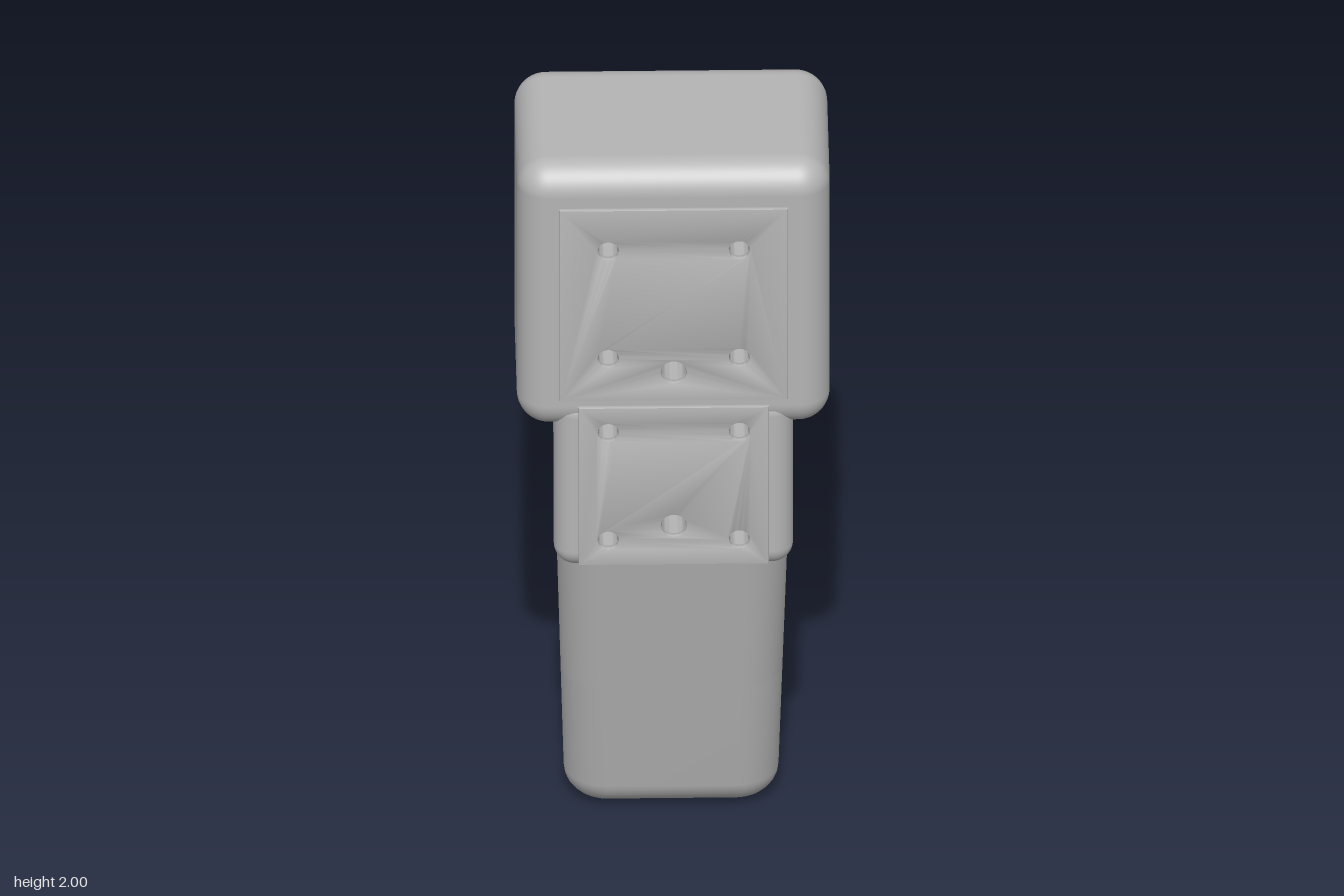
import * as THREE from 'three';
import { toCreasedNormals } from 'three/addons/utils/BufferGeometryUtils.js';
import { RoundedBoxGeometry } from 'three/addons/geometries/RoundedBoxGeometry.js';

const grey = new THREE.MeshStandardMaterial({ color: 0xb4b4b4 });
grey.name = 'grey';

function add(parent, name, geometry) {
  const mesh = new THREE.Mesh(geometry, grey);
  mesh.name = name;
  parent.add(mesh);
  return mesh;
}

// Holes are [u, v, radius]
function shapeWithHoles(points, holes) {
  const shape = new THREE.Shape(points.map(([u, v]) => new THREE.Vector2(u, v)));
  for (const [u, v, r] of holes) {
    shape.holes.push(new THREE.Path().absarc(u, v, r, 0, Math.PI * 2, true));
  }
  return shape;
}

const rect = (x0, x1, y0, y1) => [[x0, y0], [x1, y0], [x1, y1], [x0, y1]];

// Flat face with holes, placed in space by a rule (u, v) -> [x, y, z]
function panel(points, holes, place) {
  const g = new THREE.ShapeGeometry(shapeWithHoles(points, holes), 12);
  const p = g.attributes.position;
  for (let i = 0; i < p.count; i++) p.setXYZ(i, ...place(p.getX(i), p.getY(i)));
  g.computeVertexNormals();
  return g;
}

// Inside of a blind hole, opening at pos towards dir
function bore(parent, pos, dir, r, depth = 0.09) {
  const profile = [[r, 0], [r, -depth], [0, -depth]].map(([x, y]) => new THREE.Vector2(x, y));
  const mesh = add(parent, 'screwHole', toCreasedNormals(new THREE.LatheGeometry(profile, 48), 0.6));
  mesh.position.set(...pos);
  mesh.quaternion.setFromUnitVectors(new THREE.Vector3(0, 1, 0), new THREE.Vector3(...dir));
}

// Rounded box whose front (+z) and left (+x) flat faces can carry holes
function drilledBox(parent, name, [x1, y0, y1, z0, z1], r, frontHoles, sideHoles) {
  const group = new THREE.Group();
  group.name = name;
  parent.add(group);
  const h = (y1 - y0) / 2, d = (z1 - z0) / 2;
  const g = new RoundedBoxGeometry(x1 * 2, h * 2, d * 2, 6, r);
  const pos = g.attributes.position.array, nor = g.attributes.normal.array;
  const keptPos = [], keptNor = [];
  for (let i = 0; i < pos.length; i += 9) {
    const onFace = (axis, value) => [0, 3, 6].every((k) => Math.abs(pos[i + k + axis] - value) < 1e-5);
    if (onFace(2, d) || onFace(0, x1)) continue;
    for (let k = 0; k < 9; k++) {
      keptPos.push(pos[i + k]);
      keptNor.push(nor[i + k]);
    }
  }
  const shell = new THREE.BufferGeometry();
  shell.setAttribute('position', new THREE.Float32BufferAttribute(keptPos, 3));
  shell.setAttribute('normal', new THREE.Float32BufferAttribute(keptNor, 3));
  shell.translate(0, (y0 + y1) / 2, (z0 + z1) / 2);
  add(group, name + 'Shell', shell);
  add(group, name + 'Front', panel(rect(-x1 + r, x1 - r, y0 + r, y1 - r), frontHoles, (u, v) => [u, v, z1]));
  add(group, name + 'Side', panel(rect(-z1 + r, -z0 - r, y0 + r, y1 - r), sideHoles, (u, v) => [x1, v, -u]));
  for (const [x, y, hr] of frontHoles) bore(group, [x, y, z1], [0, 0, 1], hr);
  for (const [u, y, hr] of sideHoles) bore(group, [x1, y, -u], [1, 0, 0], hr);
}

// Thin cover plate with screw holes
function plate(parent, name, hw, y0, y1, holes) {
  const b = 0.004;
  const g = new THREE.ExtrudeGeometry(shapeWithHoles(rect(-hw, hw, y0, y1), holes), {
    depth: 0.015 - 2 * b, bevelThickness: b, bevelSize: b, bevelOffset: -b, bevelSegments: 2, curveSegments: 12,
  });
  g.translate(0, 0, 0.33 + b);
  add(parent, name, toCreasedNormals(g, 0.7));
}

// Grip outline in height
const RADIUS = 0.1, BOTTOM = 0.08, TOP = 0.06, HEIGHT = 1.335, CORNER = 8;
const halfWidth = (y) => 0.252 + 0.026 * y;
const frontZ = (y) => 0.046 + 0.19 * Math.min(y, 0.9);
const backZ = (y) => -0.347 + 0.18 * Math.max(0, y - 0.4);

// Rounded rectangle at height y, drawn in by inset; starts on the +x side at the front
function gripRing(y, inset) {
  const r = RADIUS - inset, w = halfWidth(y) - RADIUS;
  const f = frontZ(y) - RADIUS, k = backZ(y) + RADIUS;
  const ring = [];
  [[w, f], [-w, f], [-w, k], [w, k]].forEach(([x, z], c) => {
    for (let i = 0; i <= CORNER; i++) {
      const a = (c + i / CORNER) * Math.PI / 2;
      ring.push([x + r * Math.cos(a), y, z + r * Math.sin(a)]);
    }
  });
  return ring;
}

function buildGrip(parent) {
  const group = new THREE.Group();
  group.name = 'grip';
  parent.add(group);

  // Rings: rounded bottom, bent body (double rings keep the bends sharp), rounded top
  const rings = [];
  const steps = 8;
  for (let i = 0; i <= steps; i++) {
    const a = (i / steps) * Math.PI / 2;
    rings.push(gripRing(BOTTOM * (1 - Math.cos(a)), BOTTOM * (1 - Math.sin(a))));
  }
  const bodyStart = rings.length - 1;
  for (const y of [0.4, 0.4, 0.9, 0.9]) rings.push(gripRing(y, 0));
  const bodyEnd = rings.length;
  for (let i = 0; i <= steps; i++) {
    const a = (i / steps) * Math.PI / 2;
    rings.push(gripRing(HEIGHT - TOP + TOP * Math.sin(a), TOP * (1 - Math.cos(a))));
  }

  const n = rings[0].length;
  const all = [], kept = [];
  for (let j = 0; j < rings.length - 1; j++) {
    for (let i = 0; i < n; i++) {
      const a = j * n + i, b = j * n + (i + 1) % n, c = a + n, d = b + n;
      const quad = [a, c, b, b, c, d];
      all.push(...quad);
      // The flat +x side is a drilled panel instead
      if (!(i === n - 1 && j >= bodyStart && j < bodyEnd)) kept.push(...quad);
    }
  }
  const g = new THREE.BufferGeometry();
  g.setAttribute('position', new THREE.Float32BufferAttribute(rings.flat(2), 3));
  g.setIndex(all);
  g.computeVertexNormals();
  g.setIndex(kept);
  add(group, 'gripShell', g);

  // Drilled side
  const levels = [BOTTOM, 0.4, 0.9, HEIGHT - TOP];
  const outline = [
    ...levels.map((y) => [-(backZ(y) + RADIUS), y]),
    ...levels.slice().reverse().map((y) => [-(frontZ(y) - RADIUS), y]),
  ];
  const sideHoles = [[0.037, 0.735, 0.023], [0.14, 0.145, 0.023]];
  add(group, 'gripSide', panel(outline, sideHoles, (u, v) => [halfWidth(v), v, -u]));
  for (const [u, y, r] of sideHoles) bore(group, [halfWidth(y), y, -u], [1, 0.026, 0], r);

  // Drilled underside and plain top
  const under = [0, -0.225, 0.033];
  add(group, 'gripBottom', panel(rings[0].map(([x, , z]) => [x, z]), [under], (u, v) => [u, 0, v]));
  bore(group, [0, 0, under[1]], [0, -1, 0], under[2]);
  add(group, 'gripTop', panel(rings[rings.length - 1].map(([x, , z]) => [x, -z]), [], (u, v) => [u, HEIGHT, -v]));
}

export function createModel() {
  const model = new THREE.Group();
  model.name = 'handheldDevice';

  const screws = (low, high) => [low, high].flatMap((y) => [-0.155, 0.155].map((x) => [x, y, 0.024]));
  const upperHoles = [...screws(1.48, 1.785), [0, 1.44, 0.03]];
  const lowerHoles = [...screws(0.965, 1.27), [0, 1.005, 0.03]];

  drilledBox(model, 'head', [0.37, 1.26, 2, -0.155, 0.33], 0.075, upperHoles,
    [[0.011, 1.9, 0.024], [0.011, 1.387, 0.024]]);
  drilledBox(model, 'frontBlock', [0.283, 0.87, 1.35, 0.19, 0.33], 0.05, lowerHoles, []);
  plate(model, 'upperPlate', 0.27, 1.36, 1.9, upperHoles);
  plate(model, 'lowerPlate', 0.225, 0.895, 1.34, lowerHoles);
  buildGrip(model);
  return model;
}
